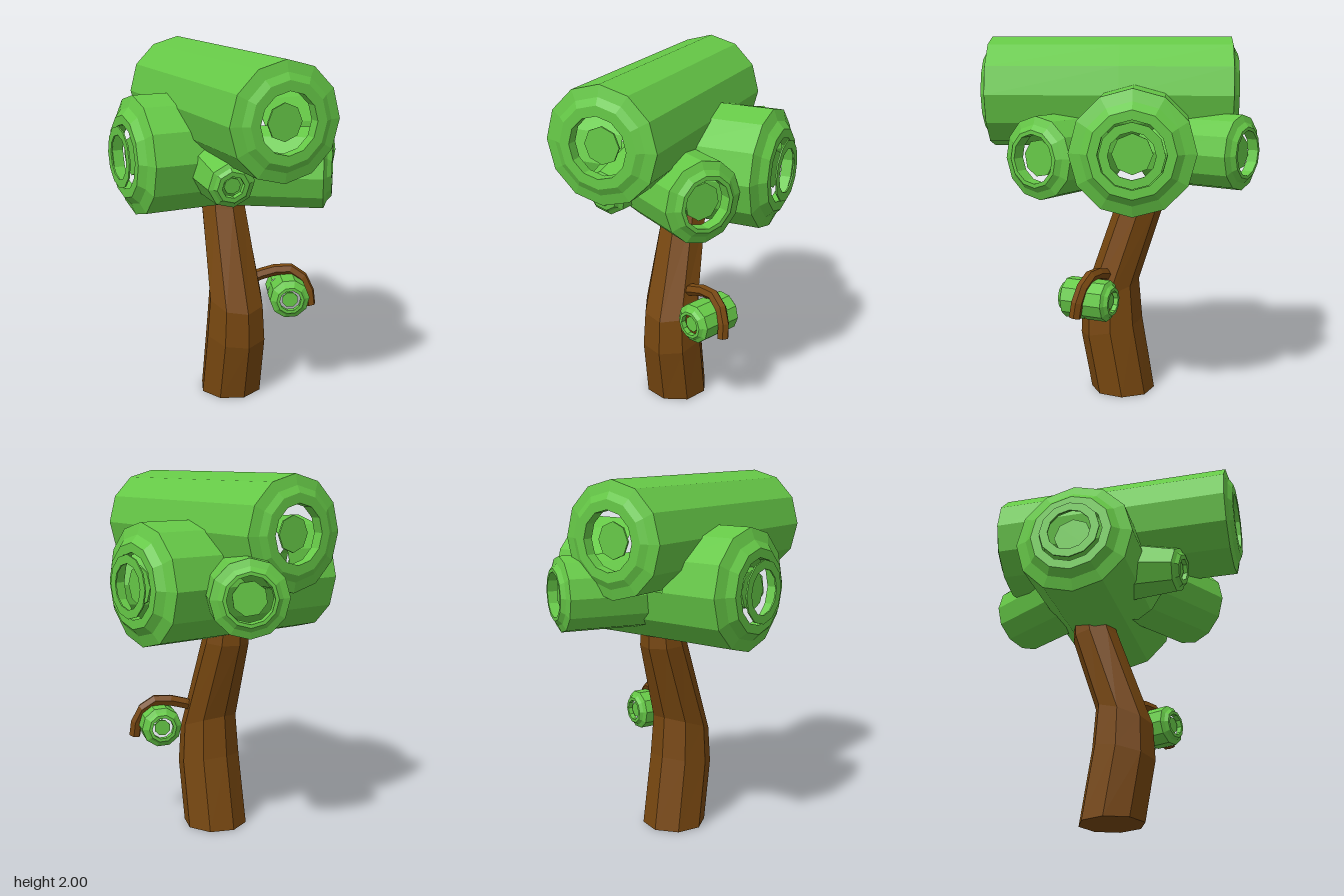
import * as THREE from 'three';

const V = (x, y, z) => new THREE.Vector3(x, y, z);
const UP = V(0, 1, 0);

export function createModel() {
  const model = new THREE.Group();
  model.name = 'logTree';
  const green = new THREE.MeshStandardMaterial({ color: 0x66c947 });
  green.name = 'leafGreen';
  const brown = new THREE.MeshStandardMaterial({ color: 0x774710 });
  brown.name = 'barkBrown';

  // Faceted mesh with hard edges
  function add(name, geometry, material, parent = model) {
    const flat = geometry.index ? geometry.toNonIndexed() : geometry;
    flat.computeVertexNormals();
    const mesh = new THREE.Mesh(flat, material);
    mesh.name = name;
    parent.add(mesh);
    return mesh;
  }
  const lathe = (points, sides, start = 0, sweep = Math.PI * 2) =>
    new THREE.LatheGeometry(points.map(([r, y]) => new THREE.Vector2(r, y)), sides, start, sweep);

  // Half a hollow log: open at its base, bevelled rim, bore and recessed disc at its tip
  function halfLog(name, base, tip, o) {
    const group = new THREE.Group();
    group.name = name;
    const axis = tip.clone().sub(base);
    const L = axis.length();
    group.position.copy(base);
    group.quaternion.setFromUnitVectors(UP, axis.normalize());
    const { r, rBase = r, bevel, hole, disc, sides = 12, depth = 0.06 } = o;
    add(name + 'Shell', lathe([
      [rBase, 0], [r, L - bevel], [r * 0.81, L - bevel * 0.6], [r * 0.69, L],
      [hole, L], [hole, L - depth],
    ], sides), green, group);
    const core = add(name + 'Core', new THREE.CylinderGeometry(disc, disc, 0.01, 8), green, group);
    core.position.y = L - depth * 0.8;
    if (o.ring) {
      const [a, b] = o.ring;
      const ring = add(name + 'Ring', lathe(
        [[a, 0.008], [a, 0], [b, 0], [b, 0.008], [a, 0.008]], sides), green, group);
      ring.position.y = L + 0.02;
    }
    model.add(group);
  }

  // Bent trunk: each ring is height, z, radius, tilt
  const rings = [
    [0, -0.015, 0.18, 0], [0.375, 0.05, 0.175, -0.045], [0.59, 0.055, 0.16, -0.06],
    [1.085, -0.11, 0.13, 0.01], [1.16, -0.12, 0.12, 0],
  ];
  const trunk = new THREE.CylinderGeometry(1, 1, 1, 8, 4);
  const p = trunk.attributes.position;
  for (let i = 0; i < p.count; i++) {
    const [y, z, r, tilt] = rings[Math.round((p.getY(i) + 0.5) * 4)];
    p.setXYZ(i, 0.01 + p.getX(i) * r, y + p.getZ(i) * tilt, z + p.getZ(i) * r);
  }
  add('trunk', trunk, brown);

  // Top log, front to back
  const top = { r: 0.3, bevel: 0.035, hole: 0.155, disc: 0.095 };
  halfLog('topLogFront', V(-0.05, 1.7, 0), V(-0.05, 1.7, 0.745), top);
  halfLog('topLogBack', V(-0.05, 1.7, 0), V(-0.05, 1.7, -0.64), top);

  // Cross log, side to side; only its lower half runs on beneath the top log
  const cross = { r: 0.325, bevel: 0.06, hole: 0.175, disc: 0.105, ring: [0.12, 0.167] };
  halfLog('crossLogLeft', V(0.11, 1.43, -0.085), V(0.59, 1.43, -0.085), cross);
  halfLog('crossLogRight', V(-0.21, 1.43, -0.085), V(-0.59, 1.43, -0.085), cross);
  const belly = add('crossLogBelly', lathe([[0.325, -0.21], [0.325, 0.11]], 6, 0, Math.PI), green);
  belly.position.set(0, 1.43, -0.085);
  belly.quaternion.setFromUnitVectors(UP, V(1, 0, 0));

  // Diagonal stubs
  halfLog('frontLeftStub', V(-0.03, 1.38, 0.16), V(0.39, 1.38, 0.437),
    { r: 0.22, bevel: 0.04, hole: 0.13, disc: 0.1, depth: 0.07 });
  halfLog('backLeftStub', V(0, 1.405, -0.2), V(0.287, 1.405, -0.68),
    { r: 0.2, bevel: 0.035, hole: 0.12, disc: 0.09 });
  halfLog('frontRightStub', V(-0.15, 1.4, 0.08), V(-0.2, 1.34, 0.45),
    { r: 0.125, rBase: 0.18, bevel: 0.03, hole: 0.06, disc: 0.045, sides: 8, depth: 0.03 });

  // Small log held by the branch
  const small = { r: 0.112, bevel: 0.03, hole: 0.06, disc: 0.045, sides: 10, depth: 0.03 };
  const mid = V(0.285, 0.605, 0.16);
  halfLog('smallLogFront', mid, V(0.23, 0.605, 0.298), small);
  halfLog('smallLogBack', mid, V(0.34, 0.605, 0.022), small);

  // Branch hooking over the small log, with its cut end
  const path = new THREE.CatmullRomCurve3([
    V(0.08, 0.68, 0.06), V(0.2, 0.725, 0.1), V(0.31, 0.735, 0.15),
    V(0.385, 0.66, 0.2), V(0.4, 0.53, 0.225),
  ]);
  add('branch', new THREE.TubeGeometry(path, 6, 0.033, 6), brown);
  const end = add('branchEnd', new THREE.CircleGeometry(0.033, 6), brown);
  end.position.copy(path.getPoint(1));
  end.quaternion.setFromUnitVectors(V(0, 0, 1), path.getTangent(1));

  return model;
}
